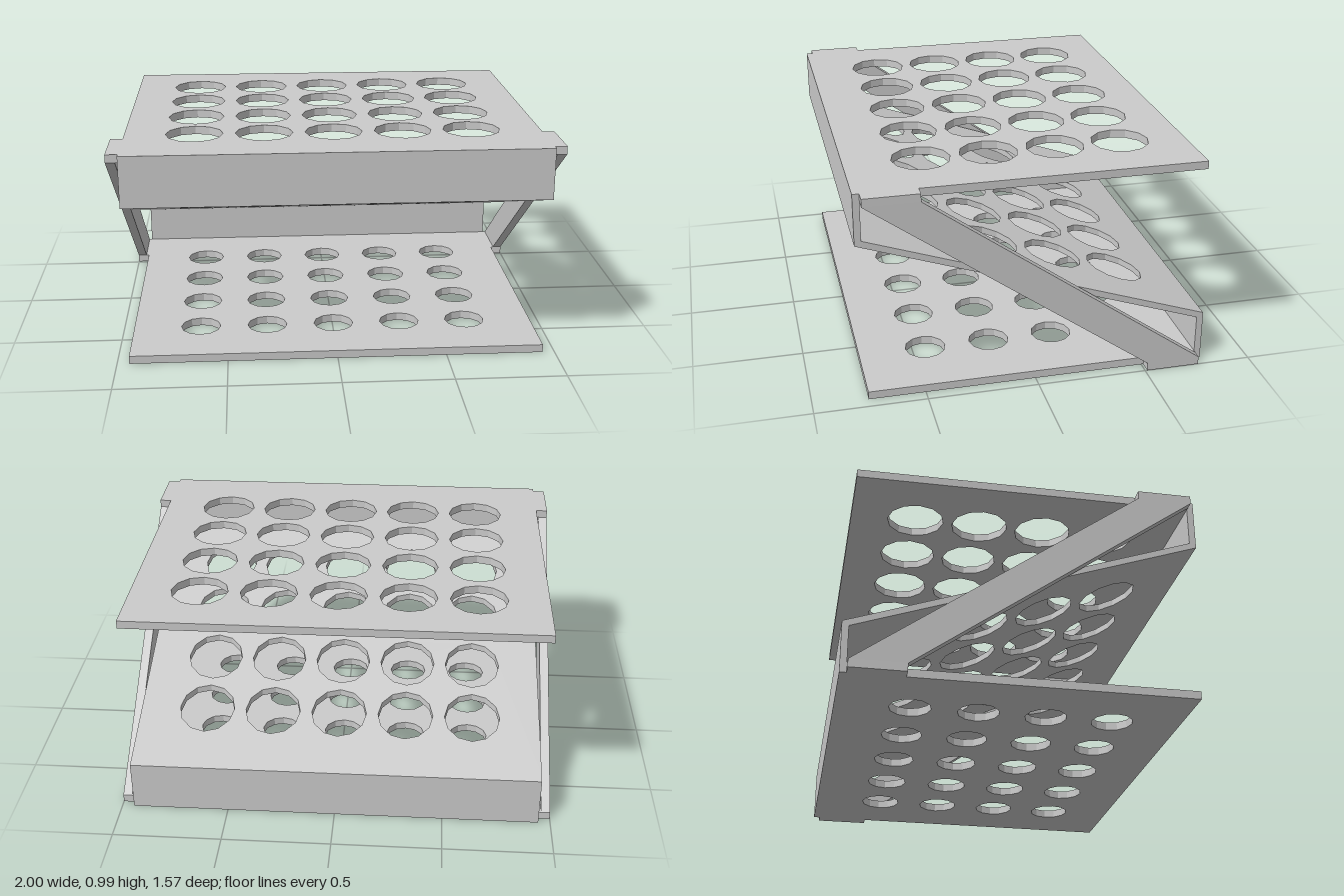
import * as THREE from 'three';

const HEIGHT = 0.985, THICK = 0.037, HALF_W = 0.945, INNER = 0.755, OUTER = 0.785;
const SLOPE = 0.348, RAMP_THICK = 0.031;
const material = new THREE.MeshStandardMaterial({ color: 0xcccccc, flatShading: true });

function addMesh(parent, name, geometry) {
  const mesh = new THREE.Mesh(geometry, material);
  mesh.name = name;
  parent.add(mesh);
  return mesh;
}

// Horizontal plate with a 5 x 4 grid of twelve-sided holes
function holedPlate(topY, thickness, radius) {
  const shape = new THREE.Shape([
    new THREE.Vector2(-HALF_W, -INNER), new THREE.Vector2(HALF_W, -INNER),
    new THREE.Vector2(HALF_W, INNER), new THREE.Vector2(-HALF_W, INNER),
  ]);
  for (let i = 0; i < 5; i++) {
    for (let j = 0; j < 4; j++) {
      const cx = (i - 2) * 0.315, cz = -0.457 + j * 0.301;
      const ring = [];
      for (let k = 0; k < 12; k++) {
        const a = -k * Math.PI / 6;
        ring.push(new THREE.Vector2(cx + radius * Math.cos(a), cz + radius * Math.sin(a)));
      }
      shape.holes.push(new THREE.Path(ring));
    }
  }
  const geometry = new THREE.ExtrudeGeometry(shape, { depth: thickness, bevelEnabled: false });
  return geometry.rotateX(Math.PI / 2).translate(0, topY, 0);
}

// Side profile given as [z, y] points, extruded from x0 to x1
function sideProfile(points, x0, x1) {
  const shape = new THREE.Shape(points.map(([z, y]) => new THREE.Vector2(z, y)));
  const geometry = new THREE.ExtrudeGeometry(shape, { depth: x1 - x0, bevelEnabled: false });
  return geometry.rotateY(-Math.PI / 2).translate(x1, 0, 0);
}

export function createModel() {
  const model = new THREE.Group();
  model.name = 'foldedShelf';
  const mid = HEIGHT / 2;

  // Level plates; the lower one has smaller holes
  addMesh(model, 'topPlate', holedPlate(HEIGHT, THICK, 0.13));
  addMesh(model, 'bottomPlate', holedPlate(THICK, THICK, 0.093));

  // Sloping middle plate, sheared so its holes stay vertical
  const ramp = holedPlate(mid + RAMP_THICK / 2, RAMP_THICK, 0.13);
  const pos = ramp.attributes.position;
  for (let i = 0; i < pos.count; i++) pos.setY(i, pos.getY(i) + SLOPE * pos.getZ(i));
  ramp.computeVertexNormals();
  addMesh(model, 'slopingPlate', ramp);

  // Upright walls joining the plates at front and back
  const rampBottom = (z) => mid - RAMP_THICK / 2 + SLOPE * z;
  const wall = [[INNER, rampBottom(INNER)], [OUTER, rampBottom(OUTER)], [OUTER, HEIGHT], [INNER, HEIGHT]];
  const turned = (points) => points.map(([z, y]) => [-z, HEIGHT - y]);
  addMesh(model, 'frontWall', sideProfile(wall, -HALF_W, HALF_W));
  addMesh(model, 'backWall', sideProfile(turned(wall), -HALF_W, HALF_W));

  // Diagonal side bars with tabs fixing them to the plates
  const low = THICK, high = HEIGHT - THICK;
  const bar = [[INNER, high], [0.51, high], [-INNER, low], [-0.51, low]];
  const tab = [[0.51, high], [INNER, high], [INNER, HEIGHT], [0.51, HEIGHT]];
  for (const [side, sign] of [['left', 1], ['right', -1]]) {
    const span = (a, b) => (sign > 0 ? [a, b] : [-b, -a]);
    addMesh(model, side + 'Bar', sideProfile(bar, ...span(0.958, 1)));
    addMesh(model, side + 'TopTab', sideProfile(tab, ...span(HALF_W, 1)));
    addMesh(model, side + 'BottomTab', sideProfile(turned(tab), ...span(HALF_W, 1)));
  }
  return model;
}
